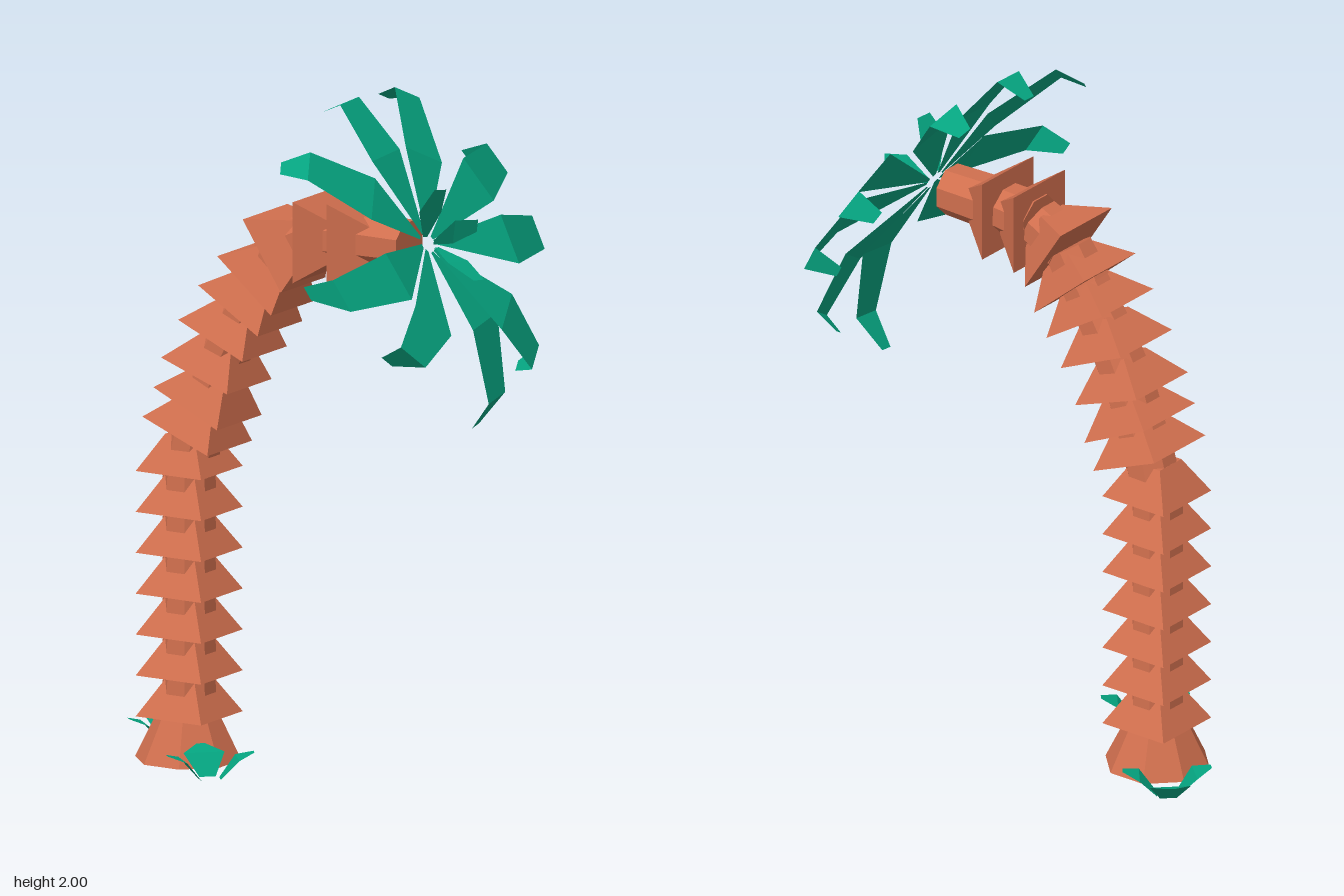
import * as THREE from 'three';

const bark = new THREE.MeshStandardMaterial({ color: 0xd06f4e, flatShading: true });
const green = new THREE.MeshStandardMaterial({ color: 0x05a37f, flatShading: true, side: THREE.DoubleSide });
const V = (x, y, z) => new THREE.Vector3(x, y, z);
const TRUNK_Z = 0.02;
const UP = V(0, 1, 0);

// Tapered piece with a flat facing front, standing on p along dir; radii are measured to the flats
function prism(name, sides, p, dir, bottom, top, height) {
  const k = 1 / Math.cos(Math.PI / sides);
  const geo = new THREE.CylinderGeometry(top * k, bottom * k, height, sides, 1, false, Math.PI / sides);
  geo.translate(0, height / 2, 0);
  const mesh = new THREE.Mesh(geo, bark);
  mesh.name = name;
  mesh.position.copy(p);
  mesh.quaternion.setFromUnitVectors(UP, dir);
  return mesh;
}

// Leaf strip: spine points with a half width each, spread along the side direction
function leaf(name, spine, halfWidths, side) {
  const pos = [], index = [];
  spine.forEach((p, i) => {
    for (const s of [-1, 1]) pos.push(...p.clone().addScaledVector(side, s * halfWidths[i]).toArray());
    if (i) {
      const a = 2 * i - 2;
      index.push(a, a + 1, a + 2, a + 1, a + 3, a + 2);
    }
  });
  const geo = new THREE.BufferGeometry();
  geo.setAttribute('position', new THREE.Float32BufferAttribute(pos, 3));
  geo.setIndex(index);
  geo.computeVertexNormals();
  const mesh = new THREE.Mesh(geo, green);
  mesh.name = name;
  return mesh;
}

function makeTrunk() {
  const trunk = new THREE.Group();
  trunk.name = 'trunk';
  // Collar positions: x, y and lean in degrees
  const nodes = [];
  for (let i = 0; i < 7; i++) nodes.push([-0.387, 0.13 + 0.12 * i, 0]);
  nodes.push([-0.36, 0.97, 22], [-0.325, 1.055, 25], [-0.295, 1.155, 20], [-0.24, 1.265, 24],
    [-0.18, 1.36, 32], [-0.125, 1.44, 40], [-0.065, 1.535, 57], [0.04, 1.587, 90], [0.155, 1.595, 90], [0.36, 1.595, 90]);

  trunk.add(prism('trunkBase', 8, V(-0.39, 0, TRUNK_Z), UP, 0.143, 0.08, 0.14));
  for (let i = 0; i < nodes.length - 1; i++) {
    const [x, y, lean] = nodes[i];
    const p = V(x, y, TRUNK_Z), next = V(nodes[i + 1][0], nodes[i + 1][1], TRUNK_Z);
    const dir = next.clone().sub(p);
    const length = dir.length();
    const a = THREE.MathUtils.degToRad(lean);
    trunk.add(prism('trunkSegment', 8, p, dir.normalize(), 0.075, 0.07, length));
    // Square flared collar
    trunk.add(prism('barkCollar', 4, p, V(Math.sin(a), Math.cos(a), 0), i < 7 ? 0.111 : 0.119, 0.05, 0.105));
  }
  return trunk;
}

function makeCrown() {
  const crown = new THREE.Group();
  crown.name = 'crown';
  const axis = V(0.85, 0.5, 0).normalize();
  const centre = V(0.42, 1.61, 0.015);
  // Each frond: widest point, bend and tip
  const fronds = [
    [[0.29, 1.855, 0.035], [0.17, 2.0, 0.04], [0.085, 1.96, 0.03]],
    [[0.32, 1.83, -0.12], [0.19, 1.975, -0.235], [0.1, 1.95, -0.25]],
    [[0.41, 1.74, -0.27], [0.33, 1.75, -0.495], [0.22, 1.74, -0.5]],
    [[0.51, 1.575, -0.28], [0.46, 1.545, -0.51], [0.345, 1.54, -0.52]],
    [[0.57, 1.39, -0.17], [0.6, 1.24, -0.275], [0.53, 1.205, -0.285]],
    [[0.56, 1.38, -0.07], [0.6, 1.16, -0.07], [0.53, 1.07, -0.065]],
    [[0.55, 1.43, 0.19], [0.59, 1.36, 0.36], [0.51, 1.34, 0.375]],
    [[0.49, 1.57, 0.28], [0.44, 1.55, 0.505], [0.33, 1.545, 0.515]],
    [[0.34, 1.76, 0.18], [0.23, 1.875, 0.35], [0.14, 1.86, 0.36]],
  ];
  for (const points of fronds) {
    const [wide, bend, tip] = points.map((p) => V(...p));
    const out = bend.clone().sub(centre).normalize();
    const start = centre.clone().addScaledVector(out, 0.03);
    const side = V(0, 0, 0).crossVectors(axis, out).normalize();
    crown.add(leaf('frond', [start, wide, bend, tip], [0.006, 0.076, 0.052, 0.022], side));
  }
  // Young leaves in the middle of the crown: root, middle, tip and side direction
  const young = [
    [[0.42, 1.63, 0.03], [0.45, 1.71, 0.05], [0.485, 1.78, 0.05], [-0.3, 0.15, 1]],
    [[0.45, 1.6, 0.015], [0.54, 1.575, 0.045], [0.625, 1.535, 0.065], [-0.2, 0.1, 1]],
    [[0.43, 1.61, 0.0], [0.48, 1.64, -0.03], [0.54, 1.66, -0.06], [0.3, 0.9, 0.3]],
  ];
  for (const points of young) {
    const [root, middle, tip, side] = points.map((p) => V(...p));
    crown.add(leaf('youngLeaf', [root, middle, tip], [0.008, 0.042, 0.022], side.normalize()));
  }
  return crown;
}

// Three short, broad blades spreading from one root
function makeGrass(x, z) {
  const tuft = new THREE.Group();
  tuft.name = 'grassTuft';
  tuft.position.set(x, 0, z);
  for (const [dx, dz, width] of [[-0.7, -0.72, 0.06], [0.76, -0.65, 0.046], [-0.66, 0.75, 0.046]]) {
    const at = (d, y) => V(dx * d, y, dz * d);
    tuft.add(leaf('grassBlade', [at(0.03, 0), at(0.08, 0.06), at(0.128, 0.076)],
      [0.4 * width, width, 0.012], V(-dz, 0, dx).normalize()));
  }
  return tuft;
}

export function createModel() {
  const model = new THREE.Group();
  model.name = 'palmTree';
  model.add(makeTrunk(), makeCrown(), makeGrass(-0.543, -0.13), makeGrass(-0.193, 0.215));
  return model;
}
